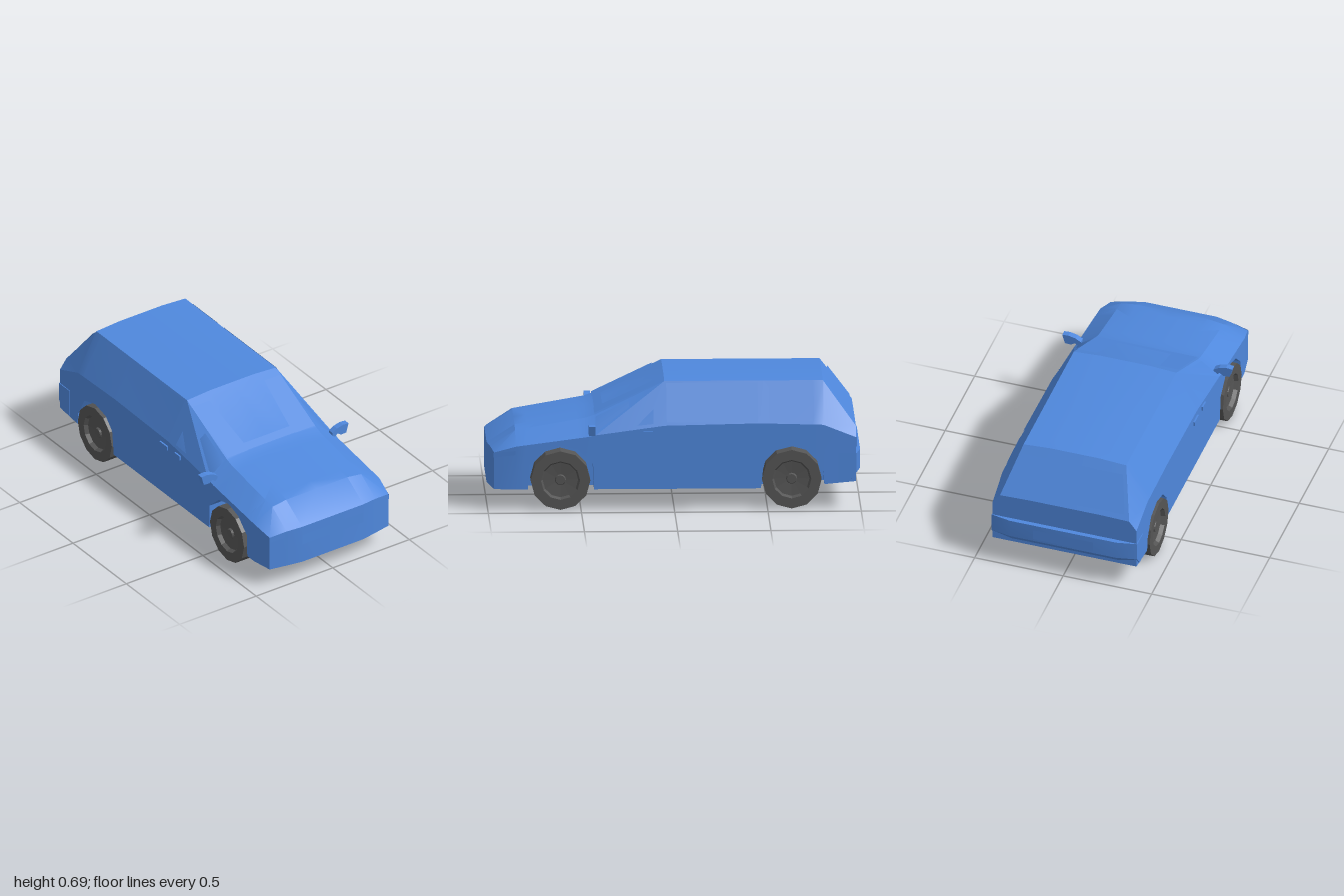
import * as THREE from 'three';
import { toCreasedNormals } from 'three/addons/utils/BufferGeometryUtils.js';

const paint = new THREE.MeshStandardMaterial({ color: 0x4f88dd });
const panelPaint = new THREE.MeshStandardMaterial({ color: 0x4f88dd, side: THREE.DoubleSide });
const rubber = new THREE.MeshStandardMaterial({ color: 0x555555, flatShading: true });

// Body stations from nose to tail:
// z, floor y, side x, belt y, roof edge x, roof edge y, crown y, crown x
const STATIONS = [
  [1.0, 0.11, 0.388, 0.31, 0.29, 0.325, 0.33, 0.2],
  [0.85, 0.11, 0.408, 0.345, 0.29, 0.412, 0.425, 0.2],
  [0.47, 0.11, 0.41, 0.395, 0.29, 0.478, 0.49, 0.16],
  [0.42, 0.11, 0.41, 0.405, 0.29, 0.495, 0.505, 0.15],
  [0.05, 0.11, 0.41, 0.455, 0.29, 0.675, 0.685, 0.14],
  [-0.46, 0.11, 0.41, 0.465, 0.29, 0.675, 0.685, 0.14],
  [-0.8, 0.13, 0.41, 0.455, 0.29, 0.675, 0.685, 0.14],
  [-0.975, 0.145, 0.406, 0.385, 0.365, 0.44, 0.445, 0.2],
];
// Wheel arch outlines: z, y
const ARCHES = [
  [[0.785, 0.11], [0.78, 0.24], [0.7, 0.32], [0.61, 0.35], [0.52, 0.33], [0.435, 0.25], [0.43, 0.11]],
  [[-0.465, 0.11], [-0.48, 0.25], [-0.54, 0.315], [-0.64, 0.34], [-0.74, 0.31], [-0.8, 0.2], [-0.805, 0.13]],
];
const AXLES = [0.61, -0.63];

// Linear interpolation in a table whose first column falls
function sample(table, z) {
  let i = 0;
  while (i < table.length - 2 && z < table[i + 1][0]) i++;
  const a = table[i], b = table[i + 1];
  const t = THREE.MathUtils.clamp((a[0] - z) / (a[0] - b[0]), 0, 1);
  return a.map((v, k) => v + (b[k] - v) * t);
}

// Plan curve of the nose: furthest z at a given x
const noseLimit = (x) => sample([[0.41, 0.95], [0.385, 0.967], [0.2, 1], [0, 1]], x)[1];

// Half cross-section, floor centre to roof centre, with the wheel well step
function halfRing(z) {
  const [, floor, side, belt, ex, ey, top, tx] = sample(STATIONS, z);
  const arch = ARCHES.find((a) => z < a[0][0] && z > a[6][0]);
  const cut = arch ? Math.max(floor, sample(arch, z)[1]) : floor;
  return [[0, floor], [0.2, floor], [0.3, floor], [0.3, cut], [side, cut],
    [side, belt], [ex, ey], [tx, top], [0, top]]
    .map(([x, y]) => [x, y, Math.min(z, noseLimit(x))]);
}

function bodyGeometry() {
  const zs = [...STATIONS.map((s) => s[0]), ...ARCHES.flat().map((p) => p[0])];
  const rings = [...new Set(zs)].sort((a, b) => b - a).map(halfRing);
  const pos = [];
  const tri = (a, b, c, s) => {
    const [p, q, r] = (s > 0 ? [a, b, c] : [a, c, b]).map(([x, y, z]) => new THREE.Vector3(x * s, y, z));
    if (new THREE.Triangle(p, q, r).getArea() > 1e-7) for (const v of [p, q, r]) pos.push(v.x, v.y, v.z);
  };
  const quad = (a, b, c, d, s) => { tri(a, b, c, s); tri(a, c, d, s); };
  for (const s of [1, -1]) {
    for (let i = 0; i < rings.length - 1; i++) {
      for (let k = 0; k < 8; k++) quad(rings[i][k], rings[i + 1][k], rings[i + 1][k + 1], rings[i][k + 1], s);
    }
    // Nose and tail faces
    const f = rings[0], r = rings[rings.length - 1];
    for (const [a, b, c, d] of [[0, 1, 7, 8], [1, 2, 6, 7], [2, 4, 5, 6]]) {
      quad(f[a], f[b], f[c], f[d], s);
      quad(r[d], r[c], r[b], r[a], s);
    }
  }
  const g = new THREE.BufferGeometry();
  g.setAttribute('position', new THREE.Float32BufferAttribute(pos, 3));
  return toCreasedNormals(g, 0.4);
}

// Thin four-cornered panel
function panel(name, corners) {
  const g = new THREE.BufferGeometry();
  g.setAttribute('position', new THREE.Float32BufferAttribute(corners.flat(), 3));
  g.setIndex([0, 1, 2, 0, 2, 3]);
  g.computeVertexNormals();
  return mesh(name, g, panelPaint);
}

function mesh(name, geometry, material = paint) {
  const m = new THREE.Mesh(geometry, material);
  m.name = name;
  return m;
}

// Point just outside the sloping cabin side
function onCabin(z, y) {
  const [, , side, belt, ex, ey] = sample(STATIONS, z);
  const t = THREE.MathUtils.clamp((y - belt) / (ey - belt), 0, 1);
  return [side + (ex - side) * t + 0.004, y + 0.002, z];
}

function bumperGeometry() {
  const plan = new THREE.Shape([[-0.411, 0.88], [0.411, 0.88], [0.411, 0.978], [0.3, 1], [-0.3, 1], [-0.411, 0.978]]
    .map(([x, y]) => new THREE.Vector2(x, y)));
  const g = new THREE.ExtrudeGeometry(plan, { depth: 0.155, steps: 3, bevelEnabled: false });
  g.rotateX(-Math.PI / 2).translate(0, 0.145, 0);
  // Tuck the lower edge forward
  const p = g.attributes.position;
  for (let i = 0; i < p.count; i++) if (p.getY(i) < 0.15 && p.getZ(i) < -0.9) p.setZ(i, p.getZ(i) + 0.04);
  return toCreasedNormals(g, 0.3);
}

function wheelGeometry() {
  const profile = [[0, -0.052], [0.16, -0.052], [0.16, 0.052], [0.105, 0.052], [0.095, 0.03],
    [0.03, 0.025], [0.025, 0.036], [0, 0.036]].map(([r, y]) => new THREE.Vector2(r, y));
  return new THREE.LatheGeometry(profile, 12).rotateZ(-Math.PI / 2);
}

// Everything that repeats on both sides, built for +x
function sideParts(s) {
  const side = new THREE.Group();
  side.name = s > 0 ? 'leftSide' : 'rightSide';
  const windows = {
    quarterWindow: [[0.42, 0.425], [0.42, 0.485], [0.11, 0.63], [0.11, 0.462]],
    frontDoorWindow: [[0.04, 0.47], [0.04, 0.665], [-0.45, 0.665], [-0.45, 0.47]],
    rearSideWindow: [[-0.51, 0.47], [-0.51, 0.665], [-0.75, 0.665], [-0.75, 0.47]],
  };
  for (const [name, pts] of Object.entries(windows)) side.add(panel(name, pts.map(([z, y]) => onCabin(z, y))));

  for (const z of [0.14, 0.01]) {
    const handle = mesh('doorHandle', new THREE.BoxGeometry(0.014, 0.025, z > 0.1 ? 0.05 : 0.07));
    handle.position.set(0.412, 0.412, z);
    side.add(handle);
  }
  // Wing mirror
  const outline = new THREE.Shape([[0.375, 0.4], [0.41, 0.425], [0.43, 0.41], [0.465, 0.412],
    [0.48, 0.465], [0.445, 0.468], [0.405, 0.458], [0.375, 0.44]].map(([x, y]) => new THREE.Vector2(x, y)));
  const mirror = mesh('wingMirror', new THREE.ExtrudeGeometry(outline, { depth: 0.034, bevelEnabled: false }));
  mirror.position.z = 0.425;
  side.add(mirror);

  // Lamps wrapping around the corners
  side.add(panel('headlight', [[0.3, 0.29, 0.986], [0.386, 0.282, 0.971], [0.386, 0.308, 0.971], [0.3, 0.321, 0.986]]));
  side.add(panel('headlightCorner', [[0.39, 0.282, 0.968], [0.412, 0.3, 0.85], [0.412, 0.322, 0.85], [0.39, 0.308, 0.968]]));
  side.add(panel('tailLight', [[0.28, 0.32, -0.978], [0.28, 0.37, -0.978], [0.4, 0.37, -0.978], [0.4, 0.32, -0.978]]));

  if (s < 0) side.scale.x = -1;
  return side;
}

export function createModel() {
  const car = new THREE.Group();
  car.name = 'car';
  car.add(mesh('body', bodyGeometry()), mesh('rearBumper', bumperGeometry()));

  // Glass and plates on the centre line
  car.add(panel('windscreen', [[-0.285, 0.503, 0.425], [0.285, 0.503, 0.425], [0.285, 0.658, 0.1], [-0.285, 0.658, 0.1]]));
  car.add(panel('rearWindow', [[0.285, 0.64, -0.839], [-0.285, 0.64, -0.839], [-0.335, 0.47, -0.962], [0.335, 0.47, -0.962]]));
  car.add(panel('frontPlate', [[-0.2, 0.22, 1.002], [0.2, 0.22, 1.002], [0.2, 0.28, 1.002], [-0.2, 0.28, 1.002]]));
  car.add(panel('rearPlate', [[0.17, 0.21, -1.002], [-0.17, 0.21, -1.002], [-0.17, 0.27, -1.002], [0.17, 0.27, -1.002]]));

  const wheelShape = wheelGeometry();
  for (const s of [1, -1]) {
    car.add(sideParts(s));
    for (const z of AXLES) {
      const wheel = mesh(z > 0 ? 'frontWheel' : 'rearWheel', wheelShape, rubber);
      wheel.position.set(s * 0.367, 0.16, z);
      if (s < 0) wheel.rotation.y = Math.PI;
      car.add(wheel);
    }
  }
  return car;
}
